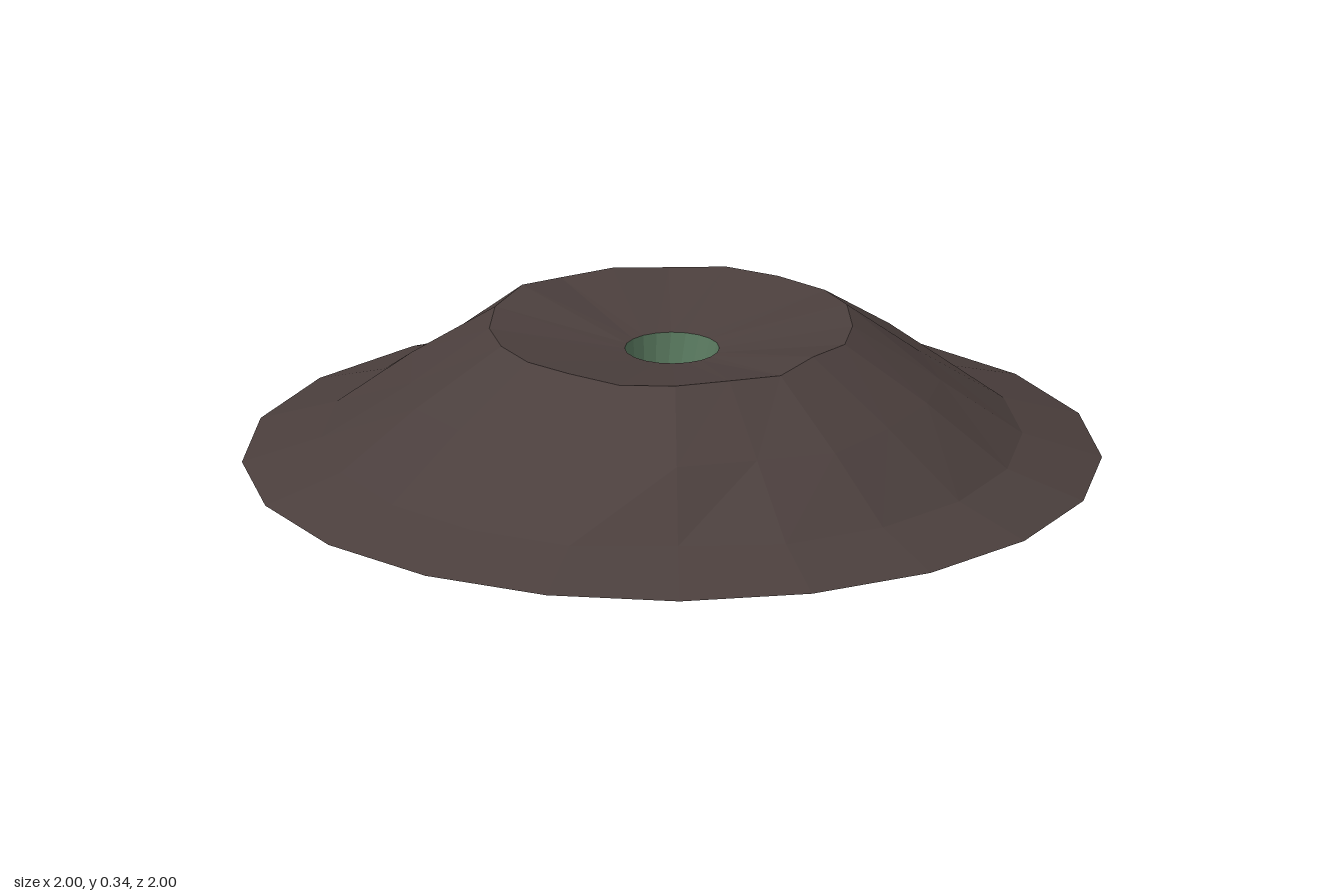
import * as THREE from 'three';

const SIDES = 20;

// One ring of points, starting at the front (+z) and turning towards +x.
// radius and height may be numbers or functions of the point's index.
function ring(radius, height, offsetX = 0) {
  const value = (v, i) => (typeof v === 'function' ? v(i) : v);
  return Array.from({ length: SIDES }, (_, i) => {
    const a = (i / SIDES) * Math.PI * 2;
    const r = value(radius, i);
    return [offsetX + Math.sin(a) * r, value(height, i), Math.cos(a) * r];
  });
}

// Faceted skin through rings listed from the outside inwards
function skin(rings) {
  const points = [];
  for (let k = 0; k < rings.length - 1; k++) {
    const outer = rings[k], inner = rings[k + 1];
    for (let i = 0; i < SIDES; i++) {
      const j = (i + 1) % SIDES;
      points.push(...outer[i], ...outer[j], ...inner[j]);
      points.push(...outer[i], ...inner[j], ...inner[i]);
    }
  }
  const geometry = new THREE.BufferGeometry();
  geometry.setAttribute('position', new THREE.Float32BufferAttribute(points, 3));
  geometry.computeVertexNormals();
  return geometry;
}

export function createModel() {
  const group = new THREE.Group();
  group.name = 'crater';

  const rock = new THREE.MeshStandardMaterial({ color: 0x4b3f3d, flatShading: true });
  rock.name = 'dark brown rock';
  const moss = new THREE.MeshStandardMaterial({ color: 0x5a7a60, flatShading: true });
  moss.name = 'muted green';

  const add = (name, geometry, material) => {
    const mesh = new THREE.Mesh(geometry, material);
    mesh.name = name;
    group.add(mesh);
    return mesh;
  };

  // Uneven rim radii, from the front round to +x, the back and -x
  const rimRadii = [
    0.42, 0.42, 0.42, 0.43, 0.41, 0.42, 0.40, 0.42, 0.42, 0.43,
    0.445, 0.43, 0.43, 0.43, 0.425, 0.43, 0.425, 0.43, 0.425, 0.42,
  ];
  const rimHeight = (i) => (i === 16 ? 0.345 : 0.328 + 0.005 * Math.sin(i * 2.3));
  const rim = ring((i) => rimRadii[i], rimHeight);

  // Outer slope: thin skirt, shoulder, roughened flank, rim
  add('slope', skin([
    ring(1, 0),
    ring((i) => (i === 3 ? 0.785 : 0.815), 0.06),
    ring((i) => 0.62 + 0.012 * Math.sin(i * 2.7), (i) => 0.197 + 0.006 * Math.cos(i * 1.9)),
    rim,
  ]), rock);

  // Shallow bowl dipping from the rim to the hole
  const mouth = ring(0.11, 0.275);
  add('bowl', skin([rim, mouth]), rock);

  // Green shaft with its floor
  const floor = ring(0.095, 0.19, -0.012);
  add('shaft', skin([mouth, floor]), moss);
  add('shaftFloor', skin([floor, ring(0, 0.19, -0.012)]), moss);

  // Flat underside
  const underside = add('underside', new THREE.CircleGeometry(1, SIDES), rock);
  underside.rotation.set(Math.PI / 2, 0, 0);

  return group;
}
